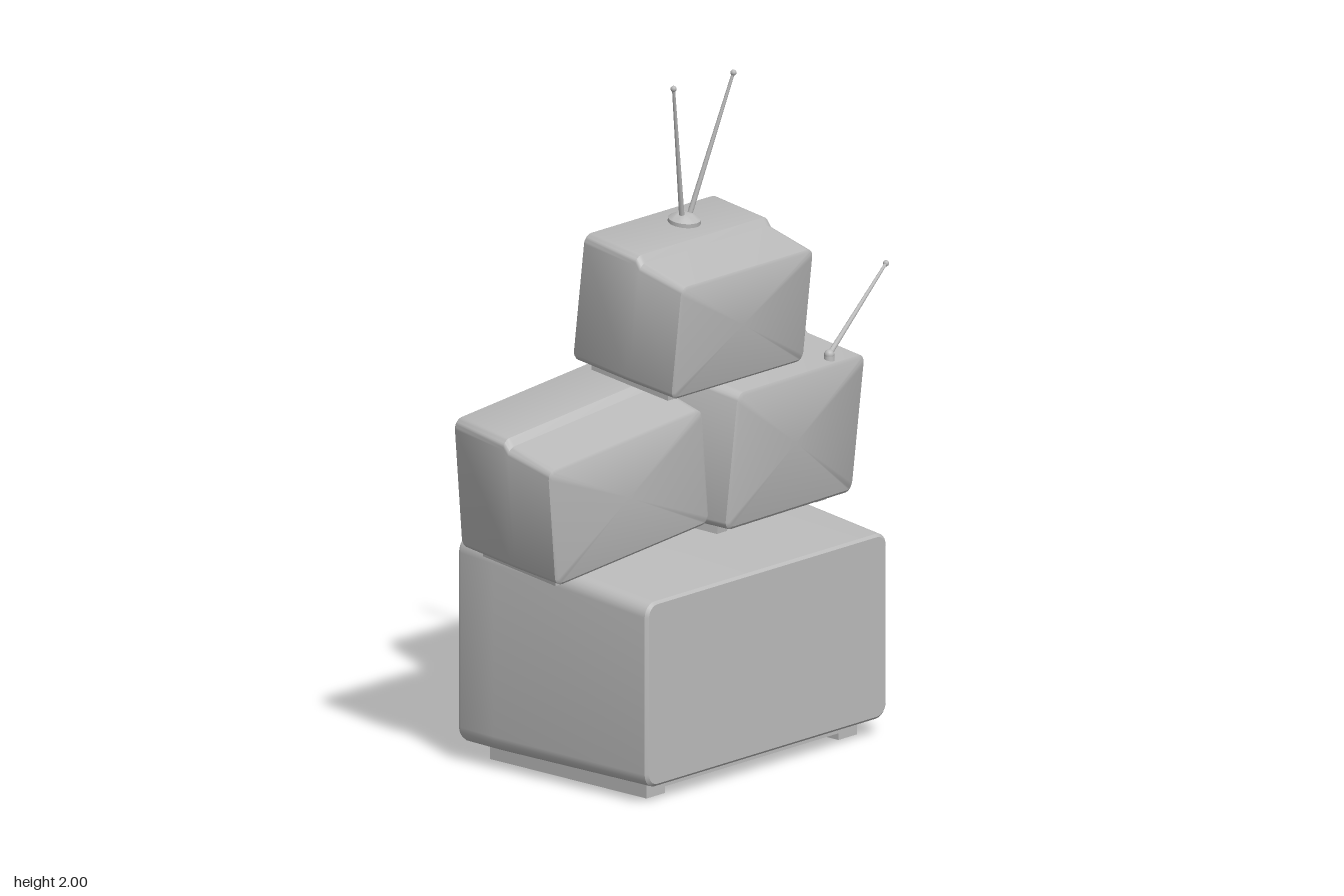
import * as THREE from 'three';
import { toCreasedNormals } from 'three/addons/utils/BufferGeometryUtils.js';

const grey = new THREE.MeshStandardMaterial({ color: 0xbababa });
grey.name = 'plain grey';
const deg = Math.PI / 180;

function add(parent, name, geometry, x = 0, y = 0, z = 0) {
  const mesh = new THREE.Mesh(geometry, grey);
  mesh.name = name;
  mesh.position.set(x, y, z);
  parent.add(mesh);
  return mesh;
}

// Rounded rectangle cross-section, counter-clockwise seen from +z
function ring([z, x0, x1, y0, y1, r]) {
  const points = [];
  const corners = [[x1 - r, y0 + r, -90], [x1 - r, y1 - r, 0], [x0 + r, y1 - r, 90], [x0 + r, y0 + r, 180]];
  for (const [cx, cy, start] of corners) {
    for (let i = 0; i <= 6; i++) {
      const a = (start + i * 15) * deg;
      points.push(new THREE.Vector3(cx + r * Math.cos(a), cy + r * Math.sin(a), z));
    }
  }
  return points;
}

// Skin over cross-sections, capped at both ends
function loft(sections) {
  const rings = sections.map(ring);
  const pos = [];
  const tri = (...v) => v.forEach((p) => pos.push(p.x, p.y, p.z));
  const n = rings[0].length;
  const middle = ([z, x0, x1, y0, y1]) => new THREE.Vector3((x0 + x1) / 2, (y0 + y1) / 2, z);
  const first = middle(sections[0]), last = middle(sections[sections.length - 1]);
  for (let i = 0; i < n; i++) {
    const j = (i + 1) % n;
    tri(first, rings[0][j], rings[0][i]);
    for (let k = 0; k + 1 < rings.length; k++) {
      const a = rings[k], b = rings[k + 1];
      tri(a[i], a[j], b[j]);
      tri(a[i], b[j], b[i]);
    }
    tri(last, rings[rings.length - 1][i], rings[rings.length - 1][j]);
  }
  const geometry = new THREE.BufferGeometry();
  geometry.setAttribute('position', new THREE.Float32BufferAttribute(pos, 3));
  return toCreasedNormals(geometry, 0.6);
}

// Bulging picture tube with barrel-shaped outline
function screenGeometry(w, h, bulge) {
  const geometry = new THREE.PlaneGeometry(2, 2, 20, 16);
  const p = geometry.attributes.position;
  for (let i = 0; i < p.count; i++) {
    const x = p.getX(i), y = p.getY(i);
    p.setXYZ(i,
      x * w / 2 * (0.93 + 0.07 * (1 - y * y)),
      y * h / 2 * (0.9 + 0.1 * (1 - x * x)),
      bulge * (1 - x * x) * (1 - y * y) + 0.004);
  }
  geometry.computeVertexNormals();
  return geometry;
}

// Stepped dial pointing along +z
function addKnob(parent, x, y, z, r, length) {
  const profile = [[0, -0.005], [r, -0.005], [r, length * 0.35], [r * 0.78, length * 0.4],
    [r * 0.7, length * 0.93], [r * 0.6, length], [0, length]].map(([a, b]) => new THREE.Vector2(a, b));
  const knob = add(parent, 'knob', toCreasedNormals(new THREE.LatheGeometry(profile, 24), 0.6), x, y, z);
  knob.rotation.x = Math.PI / 2;
}

// Large set, screen towards local +z
function largeTelevision() {
  const tv = new THREE.Group();
  tv.name = 'largeTelevision';
  add(tv, 'cabinet', loft([
    [-0.38, -0.505, 0.505, 0.06, 0.598, 0.035],
    [-0.372, -0.515, 0.515, 0.052, 0.606, 0.042],
    [0.2, -0.533, 0.533, 0.052, 0.669, 0.05],
    [0.325, -0.535, 0.535, 0.055, 0.678, 0.05],
    [0.336, -0.531, 0.531, 0.059, 0.674, 0.047],
    [0.34, -0.522, 0.522, 0.068, 0.665, 0.04],
    [0.34, -0.475, 0.305, 0.115, 0.62, 0.03],
    [0.33, -0.468, 0.298, 0.122, 0.613, 0.03],
    [0.3, -0.44, 0.27, 0.14, 0.595, 0.03],
  ]));
  add(tv, 'screen', screenGeometry(0.71, 0.455, 0.066), -0.085, 0.367, 0.3);
  for (const y of [0.54, 0.43]) addKnob(tv, 0.41, y, 0.34, 0.036, 0.037);
  // Base: two runners joined by cross bars
  for (const s of [-1, 1]) {
    add(tv, 'runner', new THREE.BoxGeometry(0.08, 0.06, 0.61), s * 0.41, 0.03, -0.015);
    add(tv, 'crossBar', new THREE.BoxGeometry(0.76, 0.04, 0.05), 0, 0.04, -0.015 + s * 0.28);
  }
  return tv;
}

// Small set with a stepped top and a recessed front panel
function smallTelevision(name) {
  const tv = new THREE.Group();
  tv.name = name;
  const w = 0.285;
  add(tv, 'cabinet', loft([
    [-0.195, -w + 0.012, w - 0.012, 0.009, 0.34, 0.02],
    [-0.19, -w + 0.004, w - 0.004, 0.002, 0.348, 0.026],
    [-0.027, -w, w, 0, 0.369, 0.028],
    [-0.009, -w, w, 0, 0.389, 0.028],
    [0.187, -w, w, 0, 0.393, 0.03],
    [0.193, -w + 0.003, w - 0.003, 0.003, 0.39, 0.028],
    [0.195, -w + 0.008, w - 0.008, 0.008, 0.385, 0.025],
    [0.195, -w + 0.018, w - 0.018, 0.018, 0.375, 0.02],
    [0.178, -w + 0.024, w - 0.024, 0.024, 0.369, 0.018],
    [0.178, -0.248, 0.162, 0.042, 0.352, 0.018],
    [0.157, -0.232, 0.146, 0.055, 0.339, 0.018],
  ]));
  add(tv, 'screen', screenGeometry(0.378, 0.282, 0.036), -0.043, 0.197, 0.157);
  for (const y of [0.31, 0.23]) addKnob(tv, 0.213, y, 0.178, 0.022, 0.034);
  for (const s of [-1, 1]) {
    add(tv, 'runner', new THREE.BoxGeometry(0.045, 0.03, 0.3), s * 0.22, -0.008, 0.005);
  }
  return tv;
}

// Thin tapered rod with a ball on the tip
function addRod(parent, from, to) {
  const a = new THREE.Vector3(...from), b = new THREE.Vector3(...to);
  const dir = b.clone().sub(a);
  const mid = a.clone().add(b).multiplyScalar(0.5);
  const rod = add(parent, 'antennaRod', new THREE.CylinderGeometry(0.0045, 0.008, dir.length(), 10), mid.x, mid.y, mid.z);
  rod.quaternion.setFromUnitVectors(new THREE.Vector3(0, 1, 0), dir.normalize());
  add(parent, 'antennaTip', new THREE.SphereGeometry(0.009, 12, 8), b.x, b.y, b.z);
}

function place(group, tv, x, y, z, scale, yaw, pitch, roll) {
  tv.position.set(x, y, z);
  tv.scale.setScalar(scale);
  tv.rotation.set(-pitch * deg, Math.PI + yaw * deg, -roll * deg, 'YXZ');
  group.add(tv);
}

export function createModel() {
  const model = new THREE.Group();
  model.name = 'televisionStack';

  place(model, largeTelevision(), -0.095, 0, 0, 1, 0, 0, 0);
  place(model, smallTelevision('middleTelevisionRight'), -0.43, 0.695, -0.02, 1.05, -6, 4, 8);
  place(model, smallTelevision('middleTelevisionLeft'), 0.194, 0.68, -0.057, 1.19, 9, 4, -3.5);
  place(model, smallTelevision('topTelevision'), -0.07, 1.157, 0.05, 1, 0, 6.8, 0);

  // Twin antenna on the top set
  const dish = [[0, -0.012], [0.048, -0.012], [0.048, 0.006], [0.036, 0.014], [0.022, 0.022], [0, 0.025]]
    .map(([r, y]) => new THREE.Vector2(r, y));
  const base = add(model, 'antennaBase', toCreasedNormals(new THREE.LatheGeometry(dish, 28), 0.6), -0.035, 1.562, 0.003);
  base.rotation.x = 6.8 * deg;
  addRod(model, [-0.05, 1.575, 0.007], [-0.146, 1.991, 0.062]);
  addRod(model, [-0.018, 1.575, 0.007], [0.11, 1.985, 0.062]);

  // Single antenna on the left middle set
  add(model, 'antennaSocket', new THREE.CylinderGeometry(0.014, 0.018, 0.05, 16), 0.437, 1.065, 0.137);
  add(model, 'antennaPivot', new THREE.SphereGeometry(0.015, 16, 10), 0.437, 1.085, 0.137);
  addRod(model, [0.437, 1.085, 0.137], [0.793, 1.262, 0.034]);

  return model;
}
